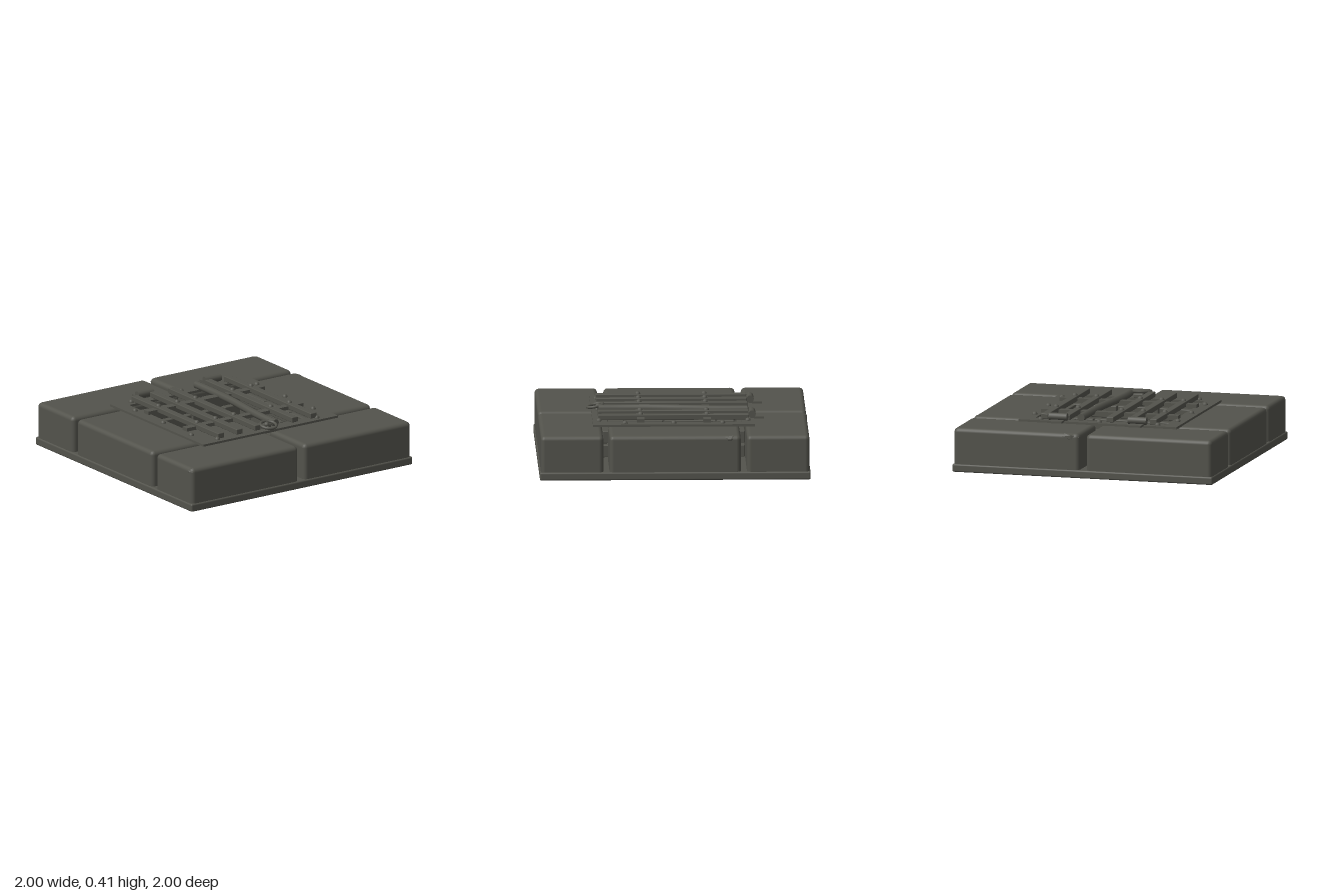
import * as THREE from 'three';
import { RoundedBoxGeometry } from 'three/addons/geometries/RoundedBoxGeometry.js';

const stone = new THREE.MeshStandardMaterial({ color: 0x53534c });
stone.name = 'dark grey';

export function createModel() {
  const model = new THREE.Group();
  model.name = 'floorGrate';

  const add = (name, geometry, x, y, z) => {
    const mesh = new THREE.Mesh(geometry, stone);
    mesh.name = name;
    mesh.position.set(x, y, z);
    model.add(mesh);
    return mesh;
  };
  // box given by its limits on each axis; r rounds the edges
  const block = (name, x0, x1, y0, y1, z0, z1, r = 0) => {
    const size = [x1 - x0, y1 - y0, z1 - z0];
    const geometry = r ? new RoundedBoxGeometry(...size, 2, r) : new THREE.BoxGeometry(...size);
    return add(name, geometry, (x0 + x1) / 2, (y0 + y1) / 2, (z0 + z1) / 2);
  };
  const rivetGeometry = new THREE.SphereGeometry(0.021, 10, 4, 0, Math.PI * 2, 0, Math.PI / 2);
  const rivet = (x, y, z) => add('rivet', rivetGeometry, x, y, z);

  // base slab and the six paving stones round the pit
  block('baseSlab', -1, 1, 0, 0.06, -1, 1, 0.012);
  for (const s of [-1, 1]) {
    for (const [a, b] of [[-0.992, -0.025], [0.025, 0.992]]) {
      const [z0, z1] = s < 0 ? [-0.992, -0.53] : [0.53, 0.992];
      block('endStone', a, b, 0.03, 0.33, z0, z1, 0.032);
    }
    const [x0, x1] = s < 0 ? [-0.992, -0.505] : [0.505, 0.992];
    block('sideStone', x0, x1, 0.03, 0.33, -0.485, 0.485, 0.032);
  }

  // broken edges
  const chip = (x, y, z, sx, sy, sz, turn) => {
    const geometry = new THREE.IcosahedronGeometry(1, 0).toNonIndexed();
    geometry.rotateY(turn).scale(sx, sy, sz);
    geometry.computeVertexNormals();
    add('chip', geometry, x, y, z);
  };
  chip(-0.96, 0.303, 0.955, 0.038, 0.028, 0.038, 0.4);
  chip(0.105, 0.303, -0.97, 0.085, 0.03, 0.029, 0.2);
  chip(0.965, 0.303, -0.4, 0.033, 0.03, 0.075, 0.7);

  // pit lining: two courses of bricks on four sides
  [[0.085, 0.175], [0.19, 0.28]].forEach(([y0, y1], course) => {
    const cuts = course ? [-0.525, -0.16, 0.16, 0.525] : [-0.525, -0.34, 0.05, 0.34, 0.525];
    for (let i = 0; i < cuts.length - 1; i++) {
      const a = cuts[i] + 0.006, b = cuts[i + 1] - 0.006;
      for (const s of [-1, 1]) {
        const p = s * 0.5;
        block('liningBrick', a, b, y0, y1, p - 0.025, p + 0.025, 0.006);
        block('liningBrick', p - 0.025, p + 0.025, y0, y1,
          Math.max(a, -0.47), Math.min(b, 0.47), 0.006);
      }
    }
  });

  // shallow puddle on the pit floor
  const puddle = add('puddle', new THREE.CylinderGeometry(0.24, 0.24, 0.006, 14), 0.15, 0.063, 0.1);
  puddle.scale.set(0.95, 1, 1.1);

  // flat square frame with its rivets
  const outline = new THREE.Shape();
  outline.moveTo(-0.608, -0.597).lineTo(0.608, -0.597).lineTo(0.608, 0.597).lineTo(-0.608, 0.597);
  const hole = new THREE.Path();
  hole.moveTo(-0.503, -0.5).lineTo(-0.503, 0.5).lineTo(0.503, 0.5).lineTo(0.503, -0.5);
  outline.holes.push(hole);
  const frame = new THREE.ExtrudeGeometry(outline, { depth: 0.018, bevelEnabled: false });
  frame.rotateX(-Math.PI / 2);
  add('frame', frame, 0, 0.328, 0);
  for (const s of [-1, 1]) {
    for (const t of [-0.36, 0, 0.36]) rivet(s * 0.55, 0.346, t);
    for (const t of [-0.45, 0, 0.45]) rivet(t, 0.346, s * 0.55);
  }

  // cross straps, straight bars and the rivets joining them
  const barX = [-0.418, -0.25, -0.085, 0.25, 0.418];
  for (const z of [-0.247, 0.243]) {
    block('crossStrap', -0.527, 0.527, 0.346, 0.372, z - 0.028, z + 0.028);
    for (const x of barX) rivet(x, 0.388, z);
  }
  for (const x of barX) block('bar', x - 0.027, x + 0.027, 0.35, 0.39, -0.558, 0.555, 0.005);

  // bent bar
  const bend = new THREE.CatmullRomCurve3([
    [0.14, 0.372, -0.55], [0.138, 0.372, -0.3], [0.122, 0.375, -0.06],
    [0.093, 0.375, 0.2], [0.083, 0.372, 0.38], [0.083, 0.372, 0.545],
  ].map((p) => new THREE.Vector3(...p)));
  const bar = new THREE.Group();
  bar.name = 'bentBar';
  bar.add(new THREE.Mesh(new THREE.TubeGeometry(bend, 20, 0.029, 8), stone));
  for (const [t, facing] of [[0, Math.PI], [1, 0]]) {
    const cap = new THREE.Mesh(new THREE.CircleGeometry(0.029, 8), stone);
    cap.position.copy(bend.getPoint(t));
    cap.rotation.y = facing;
    bar.add(cap);
  }
  model.add(bar);

  // hinges at the back
  for (const x of [-0.305, 0.305]) {
    const knuckle = add('hingeKnuckle', new THREE.CylinderGeometry(0.028, 0.028, 0.14, 10), x, 0.378, -0.582);
    knuckle.rotation.z = Math.PI / 2;
    block('hingeLeaf', x - 0.05, x + 0.05, 0.342, 0.357, -0.672, -0.57);
  }

  // pull ring and its staple at the front
  block('staple', -0.036, 0.036, 0.346, 0.378, 0.48, 0.555, 0.006);
  rivet(0, 0.376, 0.545);
  const ring = add('pullRing', new THREE.TorusGeometry(0.059, 0.011, 8, 20), 0, 0.38, 0.568);
  ring.rotation.x = Math.PI / 2 + 0.2;

  return model;
}
